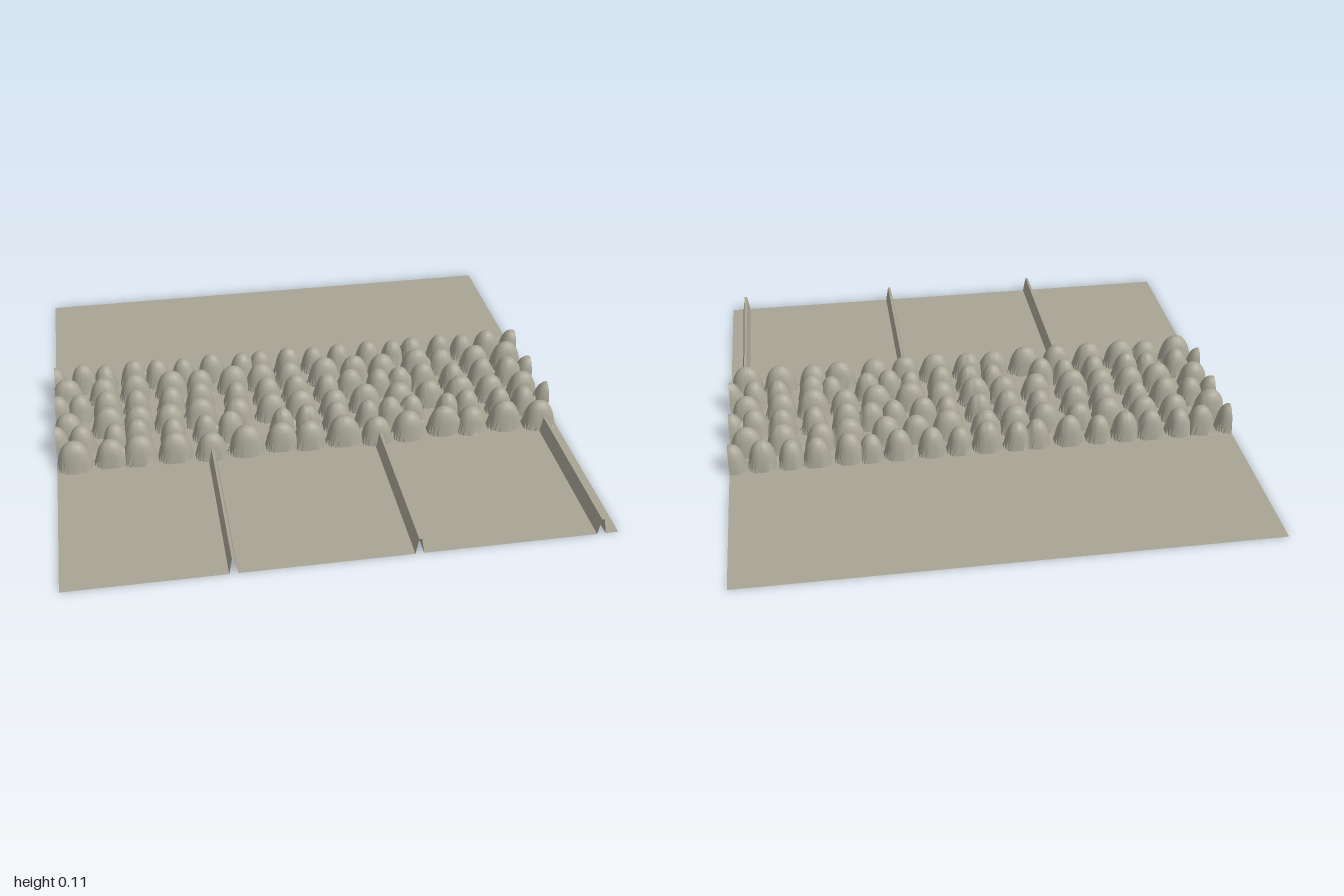
import * as THREE from 'three';
import { toCreasedNormals } from 'three/addons/utils/BufferGeometryUtils.js';

// Rows of cobbles: centre z, typical half width, and the x of each stone
const ROWS = [
  { z: -0.28, rx: 0.053, xs: [-1, -0.88, -0.79, -0.67, -0.57, -0.46, -0.34, -0.21, -0.13, -0.01, 0.1, 0.21, 0.34, 0.45, 0.535, 0.66, 0.76, 0.87, 0.985] },
  { z: -0.175, rx: 0.063, xs: [-0.95, -0.8, -0.67, -0.52, -0.4, -0.26, -0.14, -0.02, 0.13, 0.26, 0.38, 0.53, 0.64, 0.79, 0.93] },
  { z: -0.06, rx: 0.056, xs: [-0.99, -0.9, -0.79, -0.67, -0.53, -0.41, -0.26, -0.13, -0.01, 0.12, 0.22, 0.34, 0.43, 0.53, 0.66, 0.79, 0.9, 0.99] },
  { z: 0.06, rx: 0.064, xs: [-0.95, -0.79, -0.67, -0.545, -0.42, -0.27, -0.13, -0.01, 0.13, 0.26, 0.4, 0.53, 0.66, 0.79, 0.93] },
  { z: 0.165, rx: 0.053, xs: [-1, -0.9, -0.77, -0.68, -0.54, -0.41, -0.31, -0.1, 0, 0.12, 0.25, 0.34, 0.43, 0.58, 0.66, 0.8, 0.9, 1] },
  { z: 0.27, rx: 0.065, xs: [-0.93, -0.79, -0.68, -0.54, -0.4, -0.26, -0.12, -0.01, 0.13, 0.26, 0.39, 0.54, 0.65, 0.79, 0.93] },
];
const RIDGES = [-0.4, 0.263, 0.936];
const BAND = 0.34; // half depth of the cobbled strip

// Flat sheet between two z values
function sheet(z0, z1, nx, nz) {
  const g = new THREE.PlaneGeometry(2, z1 - z0, nx, nz);
  g.rotateX(-Math.PI / 2);
  g.translate(0, 0, (z0 + z1) / 2);
  return g;
}

// Stones with small repeatable differences in size and height
function makeStones() {
  const stones = [];
  ROWS.forEach((row, r) => row.xs.forEach((x, i) => {
    const a = Math.sin(i * 2.3 + r * 1.7), b = Math.sin(i * 3.7 + r * 2.9);
    const byRidge = r === 5 && RIDGES.some((q) => Math.abs(q - x) < 0.03);
    stones.push({
      x, z: row.z + (byRidge ? 0.015 : 0.004 * b),
      rx: row.rx + 0.004 * a, rz: 0.05 + 0.003 * b, h: 0.108 + 0.006 * a,
    });
  }));
  return stones;
}

// Steep sided, softly pointed domes raised out of the sheet
function cobbleGeometry() {
  const stones = makeStones();
  const g = sheet(-BAND, BAND, 250, 85);
  const p = g.attributes.position;
  for (let i = 0; i < p.count; i++) {
    let y = 0;
    for (const s of stones) {
      const u = Math.abs(p.getX(i) - s.x) / s.rx, v = Math.abs(p.getZ(i) - s.z) / s.rz;
      if (u >= 1 || v >= 1) continue;
      const d = Math.pow(u ** 2.3 + v ** 2.3, 1 / 2.3);
      if (d < 1) y = Math.max(y, s.h * Math.pow(1 - d ** 2.2, 0.55));
    }
    p.setY(i, y);
  }
  return toCreasedNormals(g, 0.8);
}

// Paving with narrow hollow ridges running front to back
function ridgedGeometry() {
  const profile = [[-1, 0]];
  for (const x of RIDGES) profile.push([x - 0.016, 0], [x - 0.005, 0.065], [x + 0.005, 0.065], [x + 0.016, 0]);
  profile.push([1, 0]);
  const g = sheet(BAND, 1, profile.length - 1, 1);
  const p = g.attributes.position;
  for (let i = 0; i < p.count; i++) {
    const [x, y] = profile[i % profile.length];
    p.setX(i, x);
    p.setY(i, y);
  }
  return toCreasedNormals(g, 0.2);
}

export function createModel() {
  const stone = new THREE.MeshStandardMaterial({ color: 0xa8a596, side: THREE.DoubleSide });
  stone.name = 'greyStone';
  const model = new THREE.Group();
  model.name = 'cobbledPaving';
  const add = (name, geometry) => {
    const mesh = new THREE.Mesh(geometry, stone);
    mesh.name = name;
    model.add(mesh);
  };
  add('backPaving', sheet(-1, -BAND, 1, 1));
  add('cobbleStrip', cobbleGeometry());
  add('ridgedFrontPaving', ridgedGeometry());
  return model;
}
